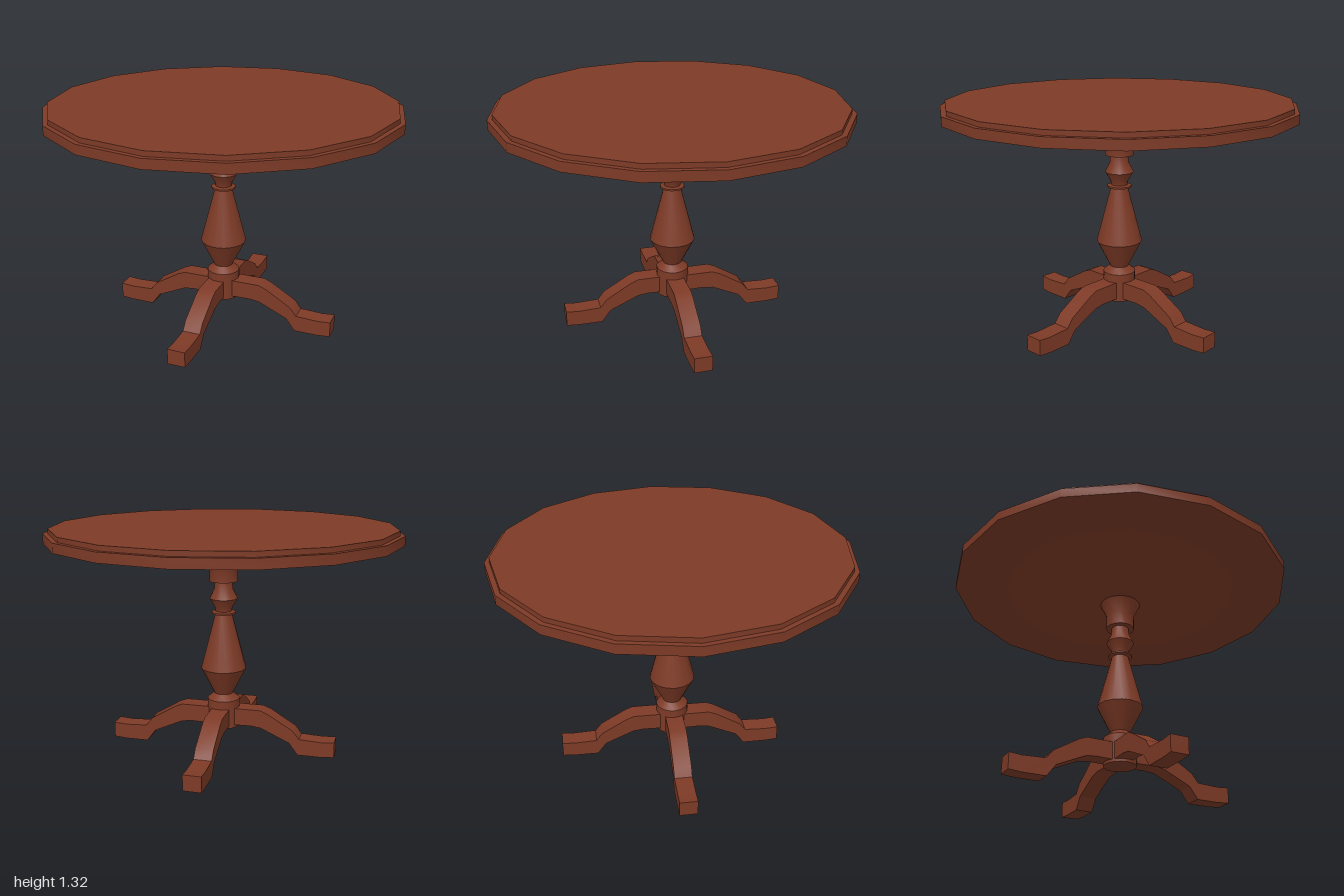
import * as THREE from 'three';
import { toCreasedNormals } from 'three/addons/utils/BufferGeometryUtils.js';

const wood = new THREE.MeshStandardMaterial({ color: 0x7d3a26 });

// Sixteen-sided turned part from [radius, y] pairs, bottom to top
function turned(name, profile) {
  const points = profile.map(([r, y]) => new THREE.Vector2(r, y));
  const geometry = toCreasedNormals(new THREE.LatheGeometry(points, 16), 0.6);
  const mesh = new THREE.Mesh(geometry, wood);
  mesh.name = name;
  return mesh;
}

// Curved leg cut from a flat board, reaching outwards along +x
function legGeometry() {
  const width = 0.104;
  const outline = [
    [0.04, 0.16], [0.18, 0.163], [0.24, 0.155], [0.41, 0.078], [0.462, 0.008], [0.6, 0.008], [0.674, 0.014],
    [0.674, 0.106], [0.6, 0.1], [0.468, 0.106], [0.43, 0.155], [0.28, 0.245], [0.235, 0.263], [0.04, 0.263],
  ];
  const shape = new THREE.Shape(outline.map(([x, y]) => new THREE.Vector2(x, y)));
  const geometry = new THREE.ExtrudeGeometry(shape, { depth: width, bevelEnabled: false });
  geometry.translate(0, -0.008, -width / 2);
  return toCreasedNormals(geometry, 0.5);
}

export function createModel() {
  const table = new THREE.Group();
  table.name = 'pedestalTable';

  // Table top with a stepped rim
  table.add(turned('tableTop', [
    [0, 1.25], [1, 1.25], [1, 1.303], [0.972, 1.303], [0.972, 1.33], [0, 1.33],
  ]));

  // Shallow cone and collar under the top
  table.add(turned('topSupport', [
    [0, 1.015], [0.083, 1.015], [0.083, 1.105], [0.12, 1.18], [0.69, 1.25],
  ]));

  // Turned column
  table.add(turned('column', [
    [0.05, 0.335], [0.133, 0.5], [0.05, 0.82], [0.07, 0.825], [0.07, 0.835],
    [0.047, 0.84], [0.052, 0.865], [0.082, 0.915], [0.055, 0.97], [0.05, 1.02],
  ]));

  // Hub that carries the legs
  table.add(turned('hub', [
    [0, 0.145], [0.095, 0.145], [0.095, 0.312], [0.055, 0.345], [0, 0.345],
  ]));

  // Four legs, with a slight offset on each
  const leg = legGeometry();
  const offsets = [[0.008, 0.002], [0, -0.003], [0.004, 0.002], [-0.016, -0.019]];
  offsets.forEach(([x, z], i) => {
    const mesh = new THREE.Mesh(leg, wood);
    mesh.name = 'leg' + (i + 1);
    mesh.rotation.y = i * Math.PI / 2;
    mesh.position.set(x, 0.008, z);
    table.add(mesh);
  });

  return table;
}
